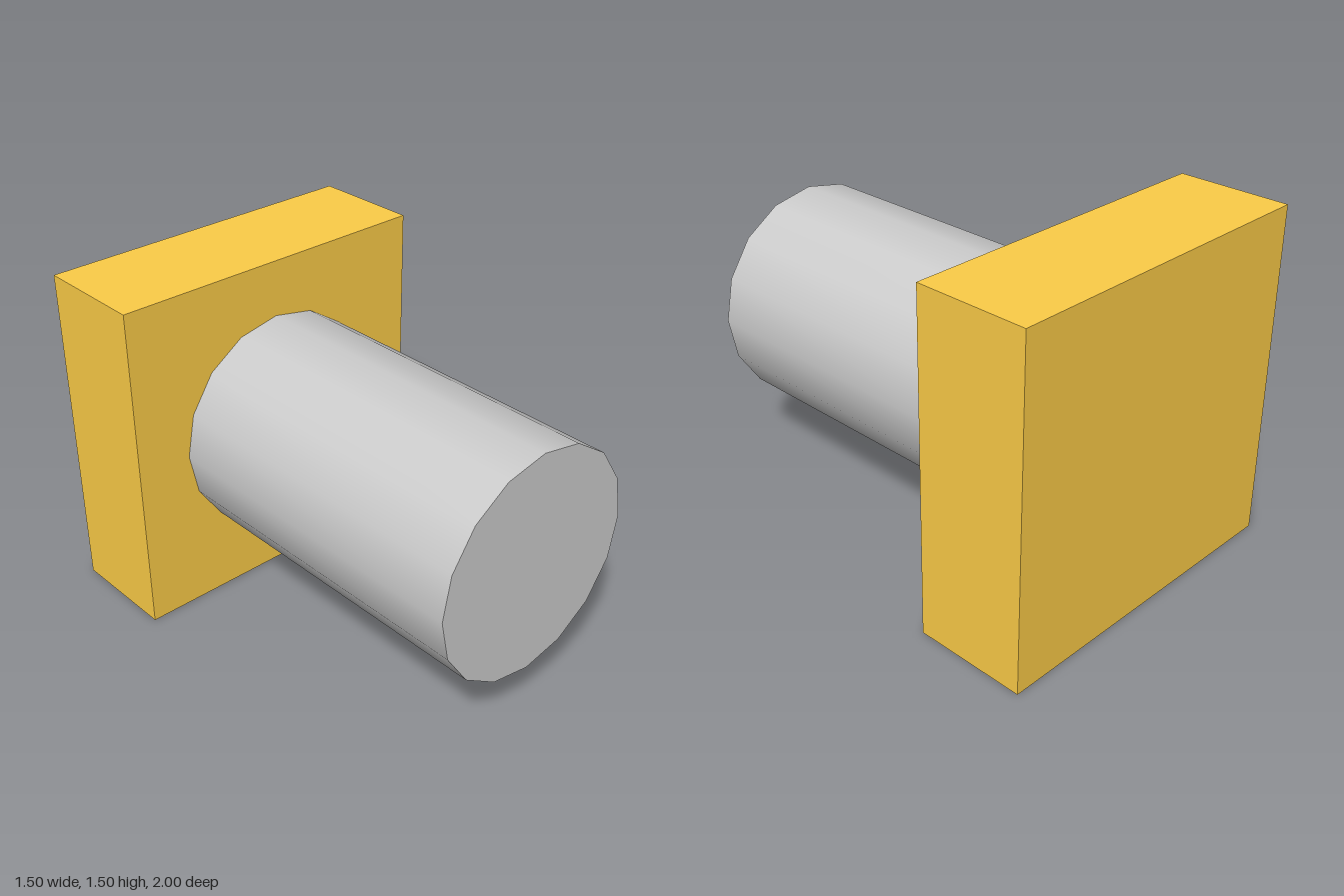
import * as THREE from 'three';

export function createModel() {
  const group = new THREE.Group();

  const addPart = (name, geometry, color, z) => {
    const mesh = new THREE.Mesh(geometry, new THREE.MeshStandardMaterial({ color }));
    mesh.name = name;
    mesh.position.set(0, 0.75, z);
    group.add(mesh);
  };

  // Square plate at the back
  addPart('backPlate', new THREE.BoxGeometry(1.5, 1.5, 0.5), 0xfccc47, -0.75);

  // Smooth 16-sided shaft pointing forward from the plate
  addPart('shaft', new THREE.CylinderGeometry(0.5, 0.5, 1.5, 16).rotateX(Math.PI / 2), 0xcccccc, 0.25);

  return group;
}
